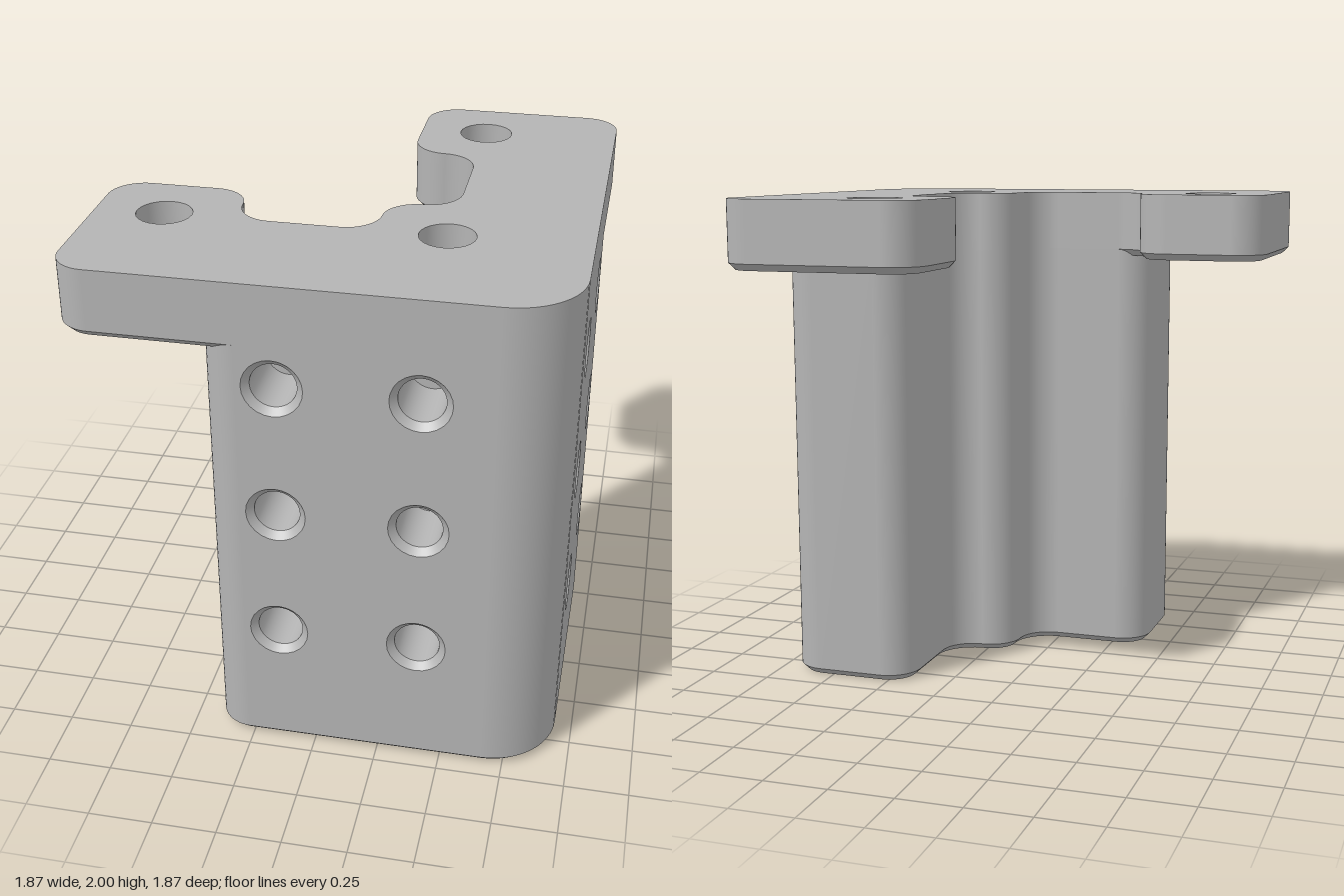
import * as THREE from 'three';
import { mergeGeometries } from 'three/addons/utils/BufferGeometryUtils.js';

const U = 2 / 15;        // design module
const C = U / 5;         // chamfer size
const TOP = 15 * U, UNDER = 13 * U;
const HOLE = 0.8 * U;    // vertical hole radius
const STEPS = 12;        // segments per quarter arc

// Outlines as quarter arcs in plan: [centre x, centre z, start, end (quarter turns), radius].
// Rising angle = convex corner, falling angle = concave fillet.
const corner = [5, 5, 0, 1, 2];
const innerRib = [[0, 2, 1, 0, 1], [2, 2, 2, 3, 1], [2, 0, 1, 0, 1]];
const columnArcs = [
  corner, [-2, 6, 1, 2, 1], [-2, 4, 2, 3, 1],
  ...innerRib, [4, -2, 2, 3, 1], [6, -2, 3, 4, 1],
];
const flangeArcs = [
  corner, [-6, 6, 1, 2, 1], [-6, 2, 2, 3, 1], [-4, 2, 3, 4, 1], [-2, 2, 2, 1, 1],
  ...innerRib,
  [2, -2, 0, -1, 1], [2, -4, 1, 2, 1], [2, -6, 2, 3, 1], [6, -6, 3, 4, 1],
];

// Points with outward normals, moved inward by inset
function outline(arcs, inset = 0) {
  return arcs.flatMap(([cx, cz, a0, a1, r]) => {
    const s = a1 > a0 ? 1 : -1;
    return Array.from({ length: STEPS + 1 }, (_, i) => {
      const a = (a0 + (a1 - a0) * i / STEPS) * Math.PI / 2;
      const c = Math.cos(a), n = Math.sin(a), rad = r * U - s * inset;
      return { x: cx * U + rad * c, z: cz * U + rad * n, nx: s * c, nz: s * n };
    });
  });
}

// Band between two matching loops; ny is the vertical tilt of the normals
function band(low, y0, high, y1, ny, skip = []) {
  const pos = [], nor = [], idx = [], n = low.length, k = 1 / Math.hypot(1, ny);
  for (const [loop, y] of [[low, y0], [high, y1]]) {
    for (const p of loop) {
      pos.push(p.x, y, p.z);
      nor.push(p.nx * k, ny * k, p.nz * k);
    }
  }
  for (let i = 0; i < n; i++) {
    if (skip.includes(i)) continue;
    const j = (i + 1) % n;
    idx.push(i, n + i, j, j, n + i, n + j);
  }
  const g = new THREE.BufferGeometry();
  g.setAttribute('position', new THREE.Float32BufferAttribute(pos, 3));
  g.setAttribute('normal', new THREE.Float32BufferAttribute(nor, 3));
  g.setIndex(idx);
  return g;
}

function punch(shape, x, y, r) {
  shape.holes.push(new THREE.Path().absarc(x, y, r, 0, Math.PI * 2, true));
}

// Horizontal face with round holes; up is 1 or -1
function cap(loop, y, up, holes, r) {
  const shape = new THREE.Shape(loop.map(p => new THREE.Vector2(p.x, -up * p.z)));
  for (const [x, z] of holes) punch(shape, x * U, -up * z * U, r);
  return new THREE.ShapeGeometry(shape, STEPS).rotateX(-up * Math.PI / 2).translate(0, y, 0);
}

// Hole lining turned from a falling profile, with sharp steps
function bore(profile) {
  const v = profile.map(p => new THREE.Vector2(...p));
  return mergeGeometries(v.slice(1).map((p, i) => new THREE.LatheGeometry([v[i], p], 4 * STEPS)));
}

export function createModel() {
  const model = new THREE.Group();
  const grey = new THREE.MeshStandardMaterial({ color: 0xb4b4b4 });
  grey.name = 'plain grey';
  const add = (name, geometry, parent = model) => {
    const mesh = new THREE.Mesh(geometry, grey);
    mesh.name = name;
    parent.add(mesh);
    return mesh;
  };

  // Upright angle column; its two drilled faces are left out of the wall
  const column = outline(columnArcs), columnFoot = outline(columnArcs, C);
  add('columnWall', band(column, C, column, UNDER + C, 0, [STEPS, column.length - 1]));
  add('columnChamfer', band(columnFoot, 0, column, C, -1));
  add('columnBase', cap(columnFoot, 0, -1, [[3, 3]], HOLE + C));

  // Top flange with two arms
  const flange = outline(flangeArcs), flangeFoot = outline(flangeArcs, C);
  const bolts = [[3, 3], [-5, 3], [3, -5]];
  add('flangeEdge', band(flange, UNDER + C, flange, TOP, 0));
  add('flangeChamfer', band(flangeFoot, UNDER, flange, UNDER + C, -1));
  add('flangeTop', cap(flange, TOP, 1, bolts, HOLE));
  add('flangeUnderside', cap(flangeFoot, UNDER, -1, bolts, HOLE + C));

  // Vertical through holes, the corner one running down the whole column
  bolts.forEach(([x, z], i) => {
    const y = i === 0 ? 0 : UNDER;
    add('boltHole', bore([[HOLE, TOP], [HOLE, y + C], [HOLE + C, y]])).position.set(x * U, 0, z * U);
  });

  // Drilled faces with countersunk blind holes, front and left side
  const r = 0.65 * U;
  const spots = [-1, 3].flatMap(u => [4, 8, 12].map(v => [u * U, v * U]));
  const blind = bore([[r + C, 0], [r, -C], [r, -2 * U], [0, -2 * U]]).rotateX(Math.PI / 2);
  for (const side of [1, -1]) {
    const face = new THREE.Group();
    face.name = side > 0 ? 'frontFace' : 'leftFace';
    const a = side > 0 ? -2 * U : -5 * U, b = a + 7 * U;
    const shape = new THREE.Shape([[a, C], [b, C], [b, UNDER + C], [a, UNDER + C]]
      .map(p => new THREE.Vector2(...p)));
    for (const [u, v] of spots) {
      punch(shape, side * u, v, r + C);
      add('screwHole', blind, face).position.set(side * u, v, 0);
    }
    add('drilledPlate', new THREE.ShapeGeometry(shape, STEPS), face);
    if (side > 0) face.position.z = 7 * U;
    else {
      face.rotation.y = Math.PI / 2;
      face.position.x = 7 * U;
    }
    model.add(face);
  }
  return model;
}
